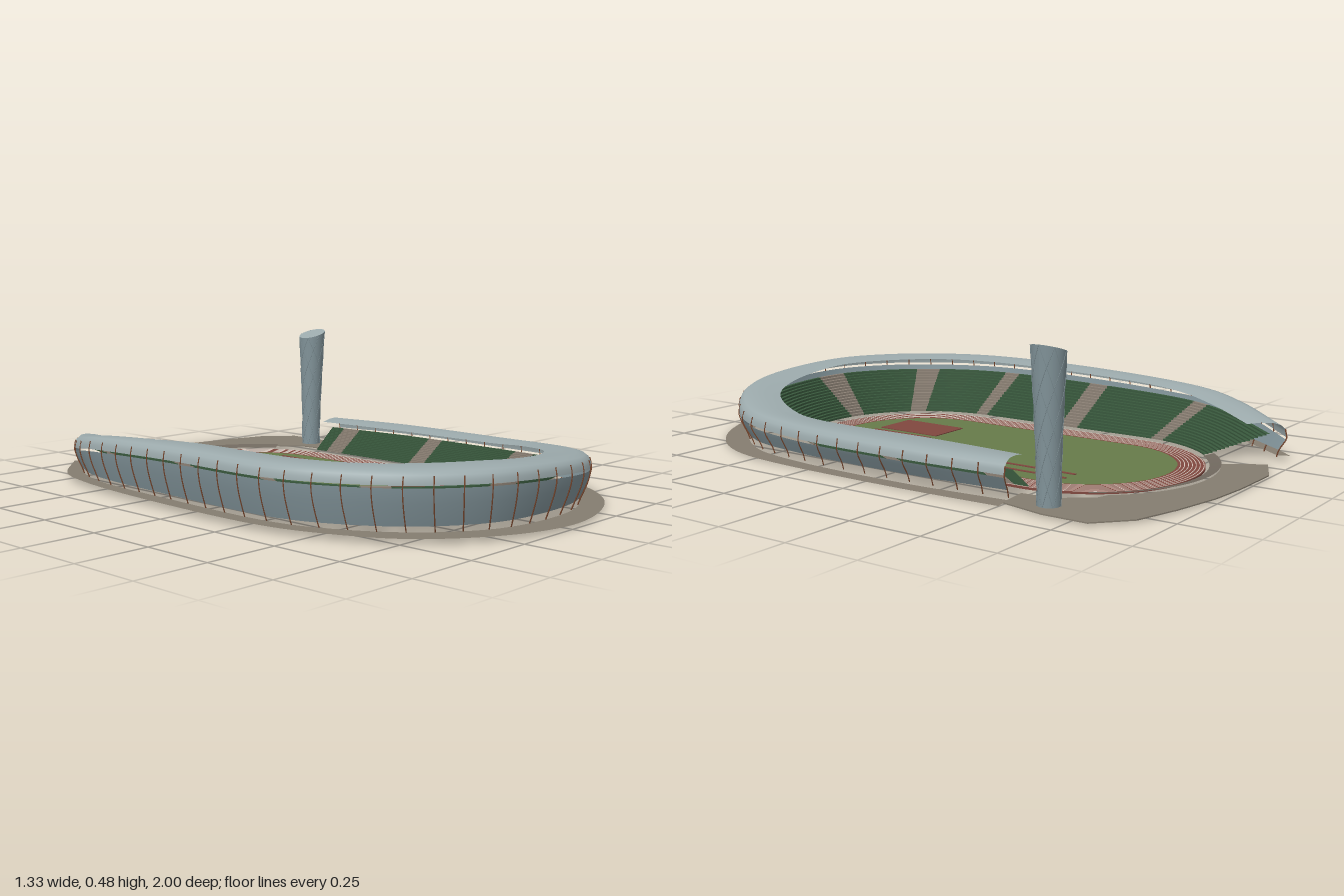
import * as THREE from 'three';

const paint = (name, color, sheet = true) =>
  new THREE.MeshStandardMaterial({ name, color, side: sheet ? THREE.DoubleSide : THREE.FrontSide });

export function createModel() {
  const model = new THREE.Group();
  model.name = 'stadium';
  const mat = {
    roof: paint('roof grey', 0x9caaac),
    wall: paint('wall blue grey', 0x82949a),
    seat: paint('seat green', 0x39593d),
    aisle: paint('aisle taupe', 0x8c8175),
    paving: paint('paving stone', 0x857d70),
    bank: paint('bank stone', 0x71695f),
    rib: paint('rib rust', 0x7d4a30, false),
    track: paint('track red', 0x80483f, false),
    grass: paint('grass green', 0x667b4a, false),
    line: paint('lane white', 0xd6c6bc, false),
  };
  const add = (name, geo, material, parent = model) => {
    const mesh = new THREE.Mesh(geo, material);
    mesh.name = name;
    parent.add(mesh);
    return mesh;
  };

  // Stations round the bowl: outer x, z, inner x, z, roof height, paving width
  const stations = [
    [-0.37, -0.95, -0.325, -0.83, 0.125, 0.015], [-0.53, -0.74, -0.42, -0.66, 0.155, 0.03],
    [-0.59, -0.58, -0.485, -0.48, 0.178, 0.025], [-0.63, -0.13, -0.49, -0.13, 0.2, 0.03],
    [-0.635, 0.34, -0.485, 0.34, 0.205, 0.025], [-0.58, 0.53, -0.42, 0.53, 0.206, 0.035],
    [-0.45, 0.74, -0.29, 0.67, 0.206, 0.05], [-0.24, 0.89, -0.13, 0.76, 0.204, 0.05],
    [0, 0.93, 0, 0.78, 0.195, 0.067], [0.24, 0.9, 0.19, 0.75, 0.18, 0.045],
    [0.42, 0.79, 0.345, 0.66, 0.165, 0.05], [0.56, 0.61, 0.465, 0.47, 0.145, 0.05],
    [0.62, 0.34, 0.49, 0.34, 0.136, 0.03], [0.64, -0.13, 0.49, -0.13, 0.135, 0.02],
    [0.61, -0.5, 0.49, -0.48, 0.13, 0.04],
  ];
  const V = (x, y, z) => new THREE.Vector3(x, y, z);
  const outerCurve = new THREE.CatmullRomCurve3(stations.map(s => V(s[0], s[4], s[1])));
  const innerCurve = new THREE.CatmullRomCurve3(stations.map(s => V(s[2], s[5], s[3])));
  const CX = 0.047, Z0 = -0.43, Z1 = 0.26;   // track centre line

  function station(u) {
    const t = outerCurve.getUtoTmapping(u);
    const o = outerCurve.getPoint(t), n = innerCurve.getPoint(t);
    const top = o.y, pave = n.y;
    // foot of the stand sits just outside the running track
    const axis = V(CX, 0, THREE.MathUtils.clamp(n.z, Z0, Z1));
    const foot = V(n.x, 0, n.z).sub(axis).setLength(0.403).add(axis);
    const at = (k, y) => V(o.x + (n.x - o.x) * k, y, o.z + (n.z - o.z) * k);
    return { at, top, pave, foot, width: Math.hypot(o.x - n.x, o.z - n.z) };
  }
  const N = 200;
  const ring = Array.from({ length: N + 1 }, (_, i) => station(i / N));

  // Sheet through one cross-section per station, optionally on chosen columns only
  function sweep(sections, keep = () => true, flat = false) {
    const m = sections[0].length, index = [];
    for (let i = 0; i < sections.length - 1; i++) {
      if (!keep(i)) continue;
      for (let j = 0; j < m - 1; j++) {
        const a = i * m + j, b = a + m;
        index.push(a, b, a + 1, b, b + 1, a + 1);
      }
    }
    let geo = new THREE.BufferGeometry().setFromPoints(sections.flat());
    geo.setIndex(index);
    if (flat) geo = geo.toNonIndexed();
    geo.computeVertexNormals();
    return geo;
  }

  // Roof canopy, curling down at its outer edge
  const roofLine = [[0, -0.045], [0.01, -0.03], [0.05, -0.016], [0.14, -0.006], [0.32, 0], [0.65, -0.001], [1, -0.008]];
  add('roof', sweep(ring.map(s => roofLine.map(([k, d]) => s.at(k, s.top + d)))), mat.roof);

  // Outer wall, leaning inward to its foot, with an open slot under the roof
  const wallLine = s => [s.at(0.01, s.top - 0.053), s.at(0.05, s.top * 0.52), s.at(0.19, 0.036)];
  add('outerWall', sweep(ring.map(wallLine)), mat.wall);

  // Ribs outside the wall, carried up over the edge of the roof
  const ribs = new THREE.Group();
  ribs.name = 'ribs';
  model.add(ribs);
  for (let i = 0; i <= 46; i++) {
    const s = station(i / 46);
    const path = new THREE.CatmullRomCurve3([
      s.at(0.23, 0.012), s.at(0.17, 0.036), s.at(0.03, s.top * 0.52),
      s.at(-0.01, s.top - 0.05), s.at(0.03, s.top - 0.018)]);
    add('rib', new THREE.TubeGeometry(path, 10, 0.0024, 4), mat.rib, ribs);
  }

  // Stepped stands, split into seat blocks and aisles
  const ROWS = 16;
  const steps = ring.map(s => {
    const back = s.at(0.4, s.top * 0.7), pts = [];
    for (let r = 0; r <= ROWS; r++) {
      const p = s.foot.clone().lerp(back, r / ROWS);
      const y = h => 0.014 + (back.y - 0.014) * h / ROWS;
      pts.push(V(p.x, y(r), p.z));
      if (r < ROWS) pts.push(V(p.x, y(r + 1), p.z));
    }
    return pts;
  });
  const aisles = [[-0.43, -0.51], [-0.43, -0.13], [-0.43, 0.27], [-0.31, 0.55], [-0.07, 0.7],
    [0.23, 0.67], [0.43, 0.4], [0.47, 0.04], [0.47, -0.37]];
  const isAisle = i => {
    const s = ring[i], n = s.at(1, 0).lerp(s.foot, 0.5);
    return aisles.some(([x, z]) => Math.hypot(n.x - x, n.z - z) < 0.034);
  };
  add('seatBlocks', sweep(steps, i => !isAisle(i), true), mat.seat);
  add('standAisles', sweep(steps, isAisle, true), mat.aisle);

  // Paving round the foot of the wall
  add('pavingRing', sweep(ring.map(s => [0.22, -s.pave / s.width].map(k => {
    const p = s.at(k, 0);
    p.y = 0.0125 - p.x * 0.013;
    return p;
  }))), mat.paving);

  // Flat oval sheets for the field
  const flat = (shape, y, depth) => new THREE.ExtrudeGeometry(shape, { depth, bevelEnabled: false, curveSegments: 40 })
    .rotateX(-Math.PI / 2).translate(0, y, 0);
  const oval = (r, Type = THREE.Shape) => {
    const s = new Type();
    s.absarc(CX, -Z0, r, 0, Math.PI);
    s.absarc(CX, -Z1, r, Math.PI, Math.PI * 2);
    s.closePath();
    return s;
  };
  const ovalRing = (r0, r1) => {
    const s = oval(r1);
    s.holes.push(oval(r0, THREE.Path));
    return s;
  };
  add('runningTrack', flat(ovalRing(0.299, 0.39), 0, 0.007), mat.track);
  add('infield', flat(oval(0.3), 0, 0.007), mat.grass);
  for (let i = 0; i < 7; i++) {
    const r = 0.309 + i * 0.0125;
    add('laneLine', flat(ovalRing(r, r + 0.0025), 0.007, 0.001), mat.line);
  }
  // Courts and jump runways: x0, x1, z0, z1
  for (const [name, x0, x1, z0, z1] of [
    ['court', -0.125, 0.035, 0.2, 0.455], ['court', 0.065, 0.225, 0.2, 0.455],
    ['runway', 0.215, 0.225, -0.5, 0.2], ['runway', 0.272, 0.282, -0.5, 0.31]]) {
    add(name, new THREE.BoxGeometry(x1 - x0, 0.003, z1 - z0)
      .translate((x0 + x1) / 2, 0.0085, (z0 + z1) / 2), mat.track);
  }

  // Open end: sloping bank round the bend and a plaza behind it
  const arc = (a, r, y) => V(CX + Math.cos(a) * r, y, Z0 - Math.sin(a) * r);
  const bank = Array.from({ length: 41 }, (_, i) => {
    const a = 0.57 + i / 40 * 1.78;
    return [arc(a, 0.402, 0.01), arc(a, 0.44, 0.018)];
  });
  add('bank', sweep(bank), mat.bank);
  const outline = [[-0.17, -0.815], [-0.25, -0.94], [-0.12, -1], [0.08, -0.998], [0.23, -0.985], [0.4, -0.95],
    [0.555, -0.905], [0.66, -0.81], [0.66, -0.66], [0.625, -0.505], [0.51, -0.49], [0.5, -0.6], [0.42, -0.7]];
  const plaza = outline.map(([x, z]) => new THREE.Vector2(x, -z));
  for (let i = 0; i <= 16; i++) {
    const p = arc(0.7 + i / 16 * 1.34, 0.438, 0);
    plaza.push(new THREE.Vector2(p.x, -p.z));
  }
  add('plaza', flat(new THREE.Shape(plaza), 0.006, 0.004), mat.paving);

  // Tower: waisted shaft with a slanted top
  const tower = new THREE.Group();
  tower.name = 'tower';
  tower.position.set(0.582, 0, -0.63);
  model.add(tower);
  const H = 0.465;
  const place = (h, a, grow = 0) => {
    const r = 0.033 + 0.019 * Math.pow(h, 1.3) + 0.003 * Math.pow(1 - h, 4) + grow;
    const x = Math.cos(a) * r;
    return V(x - 0.008 * (1 - h), 0.008 + (H - 0.008) * h + x * 0.3 * h * h, Math.sin(a) * r);
  };
  const shaft = Array.from({ length: 17 }, (_, i) =>
    Array.from({ length: 33 }, (_, j) => place(i / 16, j / 32 * Math.PI * 2)));
  add('towerShaft', sweep(shaft), mat.wall, tower);
  const lid = Array.from({ length: 33 }, (_, j) => [V(0, H, 0), place(1, j / 32 * Math.PI * 2)]);
  add('towerTop', sweep(lid), mat.roof, tower);
  // Diagonal lattice wound both ways round the shaft
  for (const turn of [1, -1]) {
    for (let k = 0; k < 7; k++) {
      const pts = Array.from({ length: 15 }, (_, i) =>
        place(i / 14, k / 7 * Math.PI * 2 + turn * i / 14 * 3.6, 0.0003));
      add('towerLattice', new THREE.TubeGeometry(new THREE.CatmullRomCurve3(pts), 36, 0.0011, 4), mat.wall, tower);
    }
  }
  return model;
}
